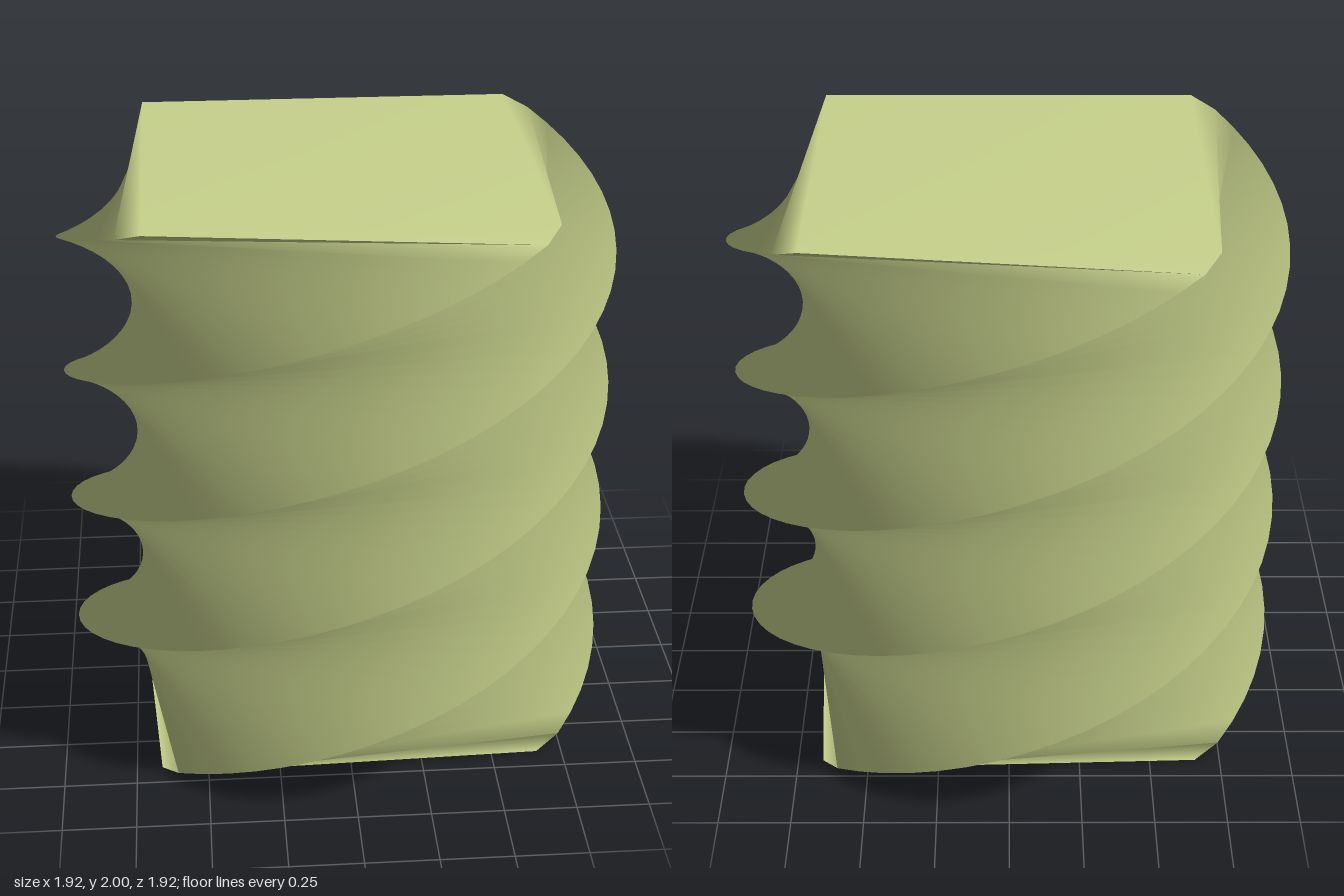
import * as THREE from 'three';

const ROWS = 60;      // height steps
const HEIGHT = 2;
const HALF = 0.68;    // half side of the square section
const END_HALF = 0.662; // end sections are drawn in a touch

export function createModel() {
  const points = [];
  const index = [];

  // Square sections stacked upward through one full turn
  for (let r = 0; r <= ROWS; r++) {
    const t = r / ROWS;
    const half = r === 0 || r === ROWS ? END_HALF : HALF;
    for (let c = 0; c < 4; c++) {
      const a = t * Math.PI * 2 + Math.PI / 4 + c * Math.PI / 2;
      const radius = half * Math.SQRT2;
      points.push(radius * Math.sin(a), t * HEIGHT, radius * Math.cos(a));
    }
  }

  // Walls between neighbouring sections
  for (let r = 0; r < ROWS; r++) {
    for (let c = 0; c < 4; c++) {
      const n = (c + 1) % 4;
      const bl = r * 4 + c, br = r * 4 + n;
      const tl = bl + 4, tr = br + 4;
      index.push(bl, br, tl, br, tr, tl);
    }
  }

  // Bottom and top caps
  const k = ROWS * 4;
  index.push(0, 2, 1, 0, 3, 2, k, k + 1, k + 2, k, k + 2, k + 3);

  const geometry = new THREE.BufferGeometry();
  geometry.setAttribute('position', new THREE.Float32BufferAttribute(points, 3));
  geometry.setIndex(index);
  geometry.computeVertexNormals();

  const column = new THREE.Mesh(geometry, new THREE.MeshStandardMaterial({ color: 0xc8d28c }));
  column.name = 'twistedColumn';

  const group = new THREE.Group();
  group.name = 'twistedSquareColumn';
  group.add(column);
  return group;
}
